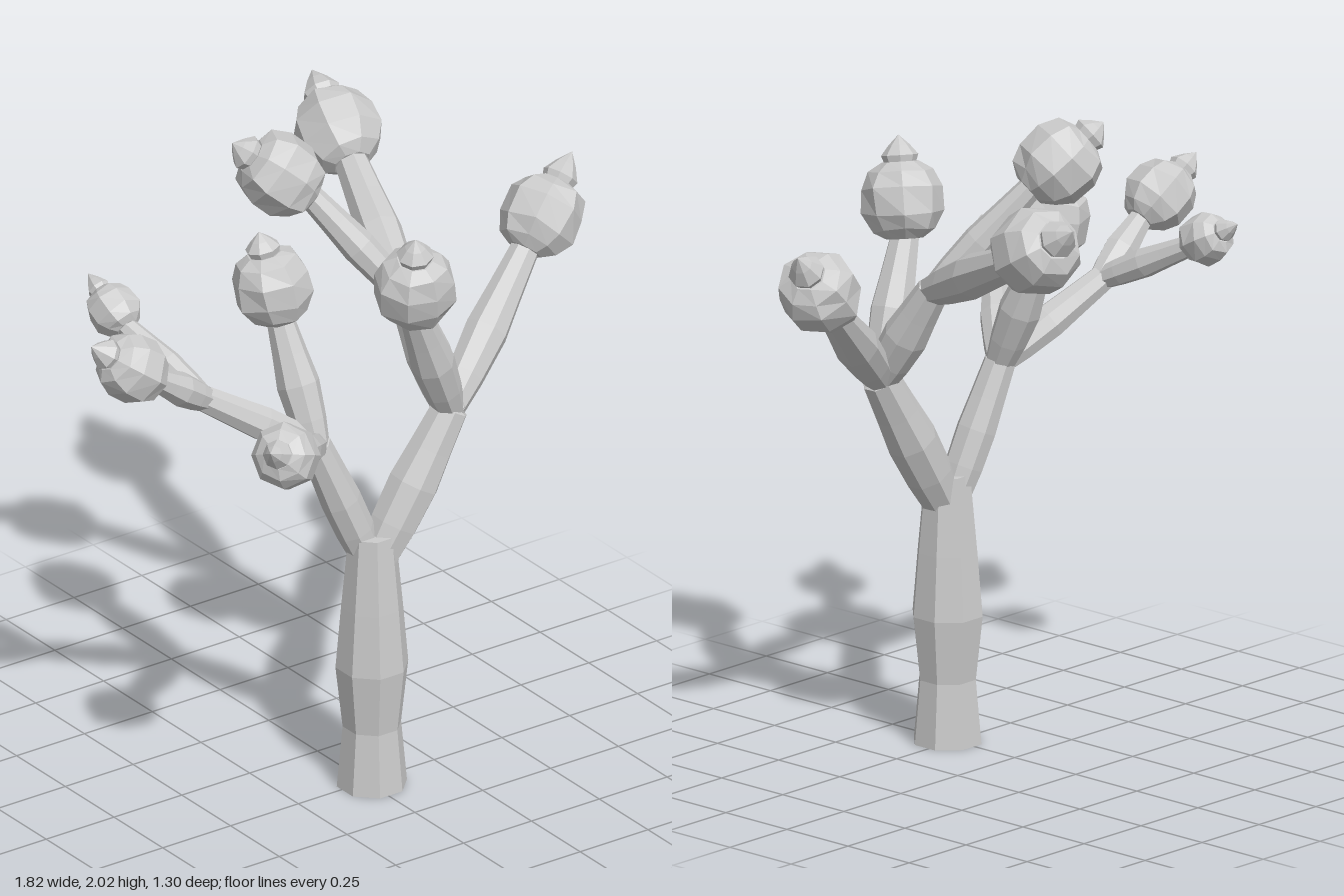
import * as THREE from 'three';

const SIDES = 8;
const material = new THREE.MeshStandardMaterial({ color: 0xcccccc, flatShading: true, side: THREE.DoubleSide });
const v = (p) => new THREE.Vector3(...p);

// small repeatable noise in -1..1
const noise = (n) => {
  const s = Math.sin(n * 12.9898) * 43758.5453;
  return (s - Math.floor(s)) * 2 - 1;
};

// turned part: profile of [distance along axis, radius], placed at base and aimed along dir
function turned(name, base, dir, profile, twist = 0) {
  const points = profile.map(([d, r]) => new THREE.Vector2(r, d));
  const mesh = new THREE.Mesh(new THREE.LatheGeometry(points, SIDES, twist), material);
  mesh.name = name;
  mesh.position.copy(base);
  mesh.quaternion.setFromUnitVectors(new THREE.Vector3(0, 1, 0), dir.clone().normalize());
  return mesh;
}

// limb: narrow at both ends, swollen near the middle
function limb(name, from, to, [r0, r1, r2]) {
  const a = v(from), dir = v(to).sub(a), len = dir.length();
  return turned(name, a, dir, [
    [-0.03, 0], [-0.015, r0 * 0.9], [len * 0.2, (r0 + r1) / 2], [len * 0.48, r1],
    [len * 0.72, (r1 + r2) / 2], [len, r2], [len + 0.025, 0],
  ], Math.PI / 8);
}

// bud: faceted bulb with a small pointed shoot
function bud(center, tip, r, seed) {
  const c = v(center), dir = v(tip).sub(c), top = dir.length() / r;
  const group = new THREE.Group();
  group.name = 'bud';
  const bulb = turned('bulb', c, dir, [
    [-1, 0], [-0.98, 0.45], [-0.78, 0.76], [-0.35, 1], [0.3, 1], [0.72, 0.8], [0.92, 0.45], [0.85, 0],
  ].map(([d, q]) => [d * r, q * r]));
  // uneven facets; the seam columns share the same offset
  const pos = bulb.geometry.attributes.position, rows = 8;
  for (let i = 0; i < pos.count; i++) {
    const row = i % rows, col = Math.floor(i / rows) % SIDES;
    if (row < 2 || row > 5) continue;
    const n = seed * 91 + row * 11 + col, k = 1 + 0.05 * noise(n);
    pos.setXYZ(i, pos.getX(i) * k, pos.getY(i) + r * 0.07 * noise(n + 40), pos.getZ(i) * k);
  }
  const shoot = turned('shoot', c, dir, [
    [0.8, 0.36], [1.08, 0.46], [1.08 + (top - 1.08) * 0.5, 0.26], [top, 0],
  ].map(([d, q]) => [d * r, q * r]));
  group.add(bulb, shoot);
  return group;
}

export function createModel() {
  const tree = new THREE.Group();
  tree.name = 'tree';

  // trunk, open at the bottom
  tree.add(turned('trunk', v([0.01, 0, 0.265]), v([0, 1, 0]), [
    [0, 0.108], [0.2, 0.09], [0.4, 0.112], [0.6, 0.095], [0.84, 0.072], [0.84, 0],
  ], Math.PI / 8));

  // forks
  const leftFork = [0.28, 1.19, 0.29], upperFork = [0.25, 1.5, 0.1];
  const rightFork = [-0.16, 1.16, 0.21], outerFork = [-0.49, 1.37, 0.1];

  // main limbs between forks
  tree.add(
    limb('mainLimb', [0.035, 0.77, 0.27], leftFork, [0.07, 0.08, 0.058]),
    limb('mainLimb', [-0.005, 0.78, 0.25], rightFork, [0.058, 0.062, 0.05]),
    limb('upperLimb', leftFork, upperFork, [0.055, 0.07, 0.05]),
    limb('outerLimb', rightFork, outerFork, [0.045, 0.055, 0.042]),
  );

  // end branches: fork, bud centre, bud tip, bud radius, branch radii
  const branches = [
    [leftFork, [0.765, 1.61, 0.085], [0.91, 1.76, 0.04], 0.122, [0.05, 0.068, 0.045]],
    [leftFork, [0.085, 1.69, 0.38], [0.055, 1.875, 0.425], 0.122, [0.05, 0.068, 0.045]],
    [upperFork, [-0.035, 1.885, -0.145], [-0.16, 2, -0.215], 0.122, [0.042, 0.053, 0.038]],
    [upperFork, [0.408, 1.775, -0.465], [0.45, 1.885, -0.655], 0.13, [0.05, 0.07, 0.052]],
    [rightFork, [-0.193, 1.635, 0.035], [-0.22, 1.81, 0.005], 0.118, [0.048, 0.066, 0.042]],
    [rightFork, [-0.51, 1.37, 0.55], [-0.64, 1.455, 0.65], 0.098, [0.042, 0.053, 0.036]],
    [outerFork, [-0.572, 1.55, -0.25], [-0.577, 1.62, -0.375], 0.078, [0.036, 0.046, 0.033]],
    [outerFork, [-0.77, 1.565, 0.12], [-0.91, 1.67, 0.105], 0.105, [0.042, 0.053, 0.036]],
  ];
  branches.forEach(([fork, center, tip, r, radii], i) => {
    const c = v(center);
    const neck = c.clone().addScaledVector(v(tip).sub(c).normalize(), -r * 0.92);
    tree.add(limb('branch', fork, neck.toArray(), radii), bud(center, tip, r, i + 1));
  });
  return tree;
}
